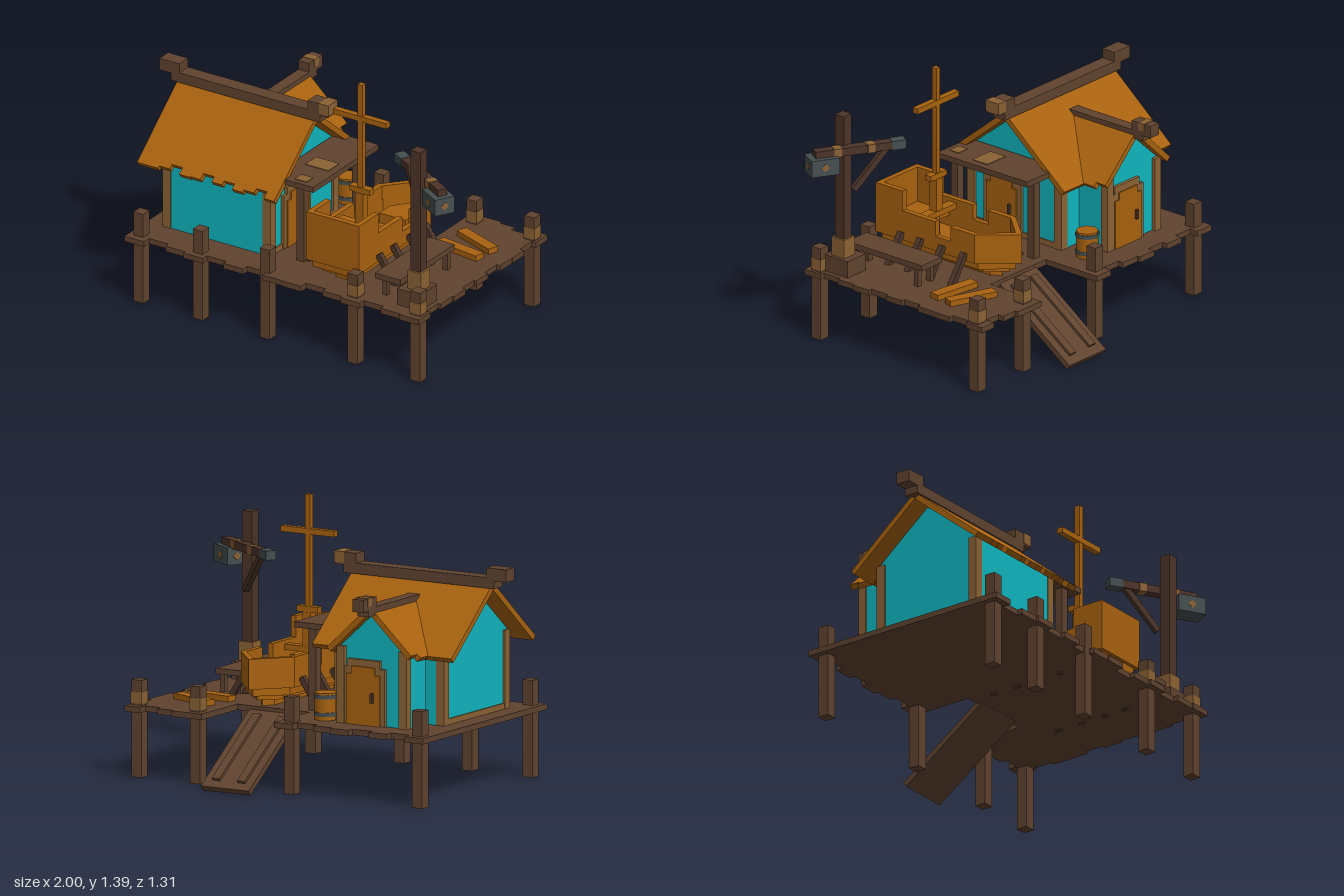
import * as THREE from 'three';

const mat = (name, color) => Object.assign(new THREE.MeshStandardMaterial({ color }), { name });

export function createModel() {
  const model = new THREE.Group();
  const brown = mat('brown wood', 0x60432f), dark = mat('dark wood', 0x4c3428), tan = mat('tan trim', 0x8b6234);
  const orange = mat('orange wood', 0xa8620f), teal = mat('teal wall', 0x10b5bf), slate = mat('slate metal', 0x454e4f);

  const add = (name, geo, m, parent = model) => {
    const mesh = new THREE.Mesh(geo, m);
    mesh.name = name;
    parent.add(mesh);
    return mesh;
  };
  // box given by its extents on each axis
  const box = (name, m, x0, x1, y0, y1, z0, z1, parent) => {
    const b = add(name, new THREE.BoxGeometry(x1 - x0, y1 - y0, z1 - z0), m, parent);
    b.position.set((x0 + x1) / 2, (y0 + y1) / 2, (z0 + z1) / 2);
    return b;
  };
  // square timber between two points
  const beam = (name, m, a, b, w, h = w) => {
    const A = new THREE.Vector3(...a), B = new THREE.Vector3(...b);
    const mesh = add(name, new THREE.BoxGeometry(w, h, A.distanceTo(B)), m);
    mesh.position.copy(A).add(B).multiplyScalar(0.5);
    mesh.lookAt(B);
    return mesh;
  };
  const shapeOf = pts => new THREE.Shape(pts.map(p => new THREE.Vector2(...p)));
  const extrude = (shape, depth) => new THREE.ExtrudeGeometry(shape, { depth, bevelEnabled: false });
  // flat slab from a plan outline of [x, z] points
  const slab = (name, m, pts, y0, y1, hole) => {
    const flip = p => [p[0], -p[1]];
    const s = shapeOf(pts.map(flip));
    if (hole) s.holes.push(shapeOf(hole.map(flip)));
    const mesh = add(name, extrude(s, y1 - y0).rotateX(-Math.PI / 2), m);
    mesh.position.y = y0;
    return mesh;
  };
  // stepped line of plank ends from u0 to u1
  const jag = (u0, u1, n, depth) => {
    const pts = [], cuts = [0, 1, 0.35, 0, 0.8, 0.2, 1, 0.1];
    for (let i = 0; i < n; i++) {
      const d = i === n - 1 ? 0 : cuts[i % 8] * depth;
      for (const k of [i, i + 1]) pts.push([u0 + (u1 - u0) * k / n, d]);
    }
    return pts;
  };

  // deck with a gap at the back for the ramp
  slab('deck', brown, [
    ...jag(-0.9, 0.88, 15, 0.045).map(([x, d]) => [x, 0.655 - d]),
    ...jag(0.655, -0.53, 11, 0.025).map(([z, d]) => [0.88 - d, z]),
    ...jag(0.88, 0.42, 5, 0.05).map(([x, d]) => [x, -0.53 + d]),
    [0.42, -0.19], [-0.01, -0.19],
    ...jag(-0.01, -0.9, 8, 0.05).map(([x, d]) => [x, -0.53 + d]),
  ], 0.34, 0.37);

  // stilts
  for (const [x, z] of [[-0.84, 0.59], [-0.48, 0.59], [-0.075, 0.59], [0.455, 0.59], [0.835, 0.59],
    [-0.84, -0.46], [-0.075, -0.46], [0.485, -0.46], [0.835, -0.46]]) {
    box('stilt', brown, x - 0.03, x + 0.03, 0, 0.5, z - 0.03, z + 0.03);
    if (x > 0.4) box('stiltBand', tan, x - 0.032, x + 0.032, 0.38, 0.44, z - 0.032, z + 0.032);
  }

  // ramp with two treads
  const rampAt = (t, x, lift) => [x, 0.35 - 0.335 * t + lift, -0.165 - 0.48 * t];
  beam('ramp', brown, rampAt(0, 0.205, 0), rampAt(1, 0.205, 0), 0.285, 0.03);
  for (const x of [0.13, 0.28]) beam('rampTread', brown, rampAt(0.12, x, 0.024), rampAt(0.94, x, 0.024), 0.045, 0.02);

  // house walls: gabled blocks
  const gabled = [[-0.31, 0.37], [0.31, 0.37], [0.31, 0.775], [0, 1.025], [-0.31, 0.775]];
  const hall = add('hallWalls', extrude(shapeOf(gabled), 0.63).rotateY(Math.PI / 2), teal);
  hall.position.set(-0.79, 0, 0.14);
  const wing = add('wingWalls', extrude(shapeOf([[-0.2, 0.37], [0.2, 0.37], [0.2, 0.762], [0, 0.945], [-0.2, 0.762]]), 0.34), teal);
  wing.position.set(-0.49, 0, -0.345);

  // corner posts and sills
  for (const x of [-0.778, -0.172]) for (const z of [-0.15, 0.43])
    box('cornerPost', tan, x - 0.024, x + 0.024, 0.37, 0.775, z - 0.024, z + 0.024);
  for (const x of [-0.675, -0.305]) box('wingCornerPost', tan, x - 0.023, x + 0.023, 0.37, 0.765, -0.367, -0.322);
  for (const x of [-0.796, -0.154]) box('sill', tan, x - 0.004, x + 0.004, 0.37, 0.4, -0.15, 0.43);

  // roof sheet: outline is [along ridge, down slope], hung from a ridge point
  const roof = (name, pts, pos, turn, pitch) => {
    const g = new THREE.Group();
    g.name = name;
    g.position.set(...pos);
    g.rotation.y = turn;
    add('sheet', extrude(shapeOf(pts), 0.03), orange, g).rotation.x = -(Math.PI / 2 - pitch);
    model.add(g);
  };
  const eave = jag(0.415, -0.415, 13, 0.04).map(([x, d]) => [x, -0.495 + d]);
  roof('hallRoofFront', [[-0.415, 0], [0.415, 0], ...eave], [-0.485, 1.03, 0.14], 0, 0.69);
  roof('hallRoofBack', [[-0.415, 0], [0.415, 0], [0.415, -0.495], [-0.415, -0.495]], [-0.485, 1.03, 0.14], Math.PI, 0.69);
  for (const s of [1, -1])
    roof('wingRoof', [[0.39, 0], [-0.03, 0], [0.22, -0.34], [0.33, -0.34], [0.33, -0.315], [0.39, -0.315]]
      .map(([u, v]) => [u * s, v]), [-0.49, 0.95, 0], s * Math.PI / 2, 0.75);

  // ridge beams with end blocks
  box('hallRidge', brown, -0.93, -0.03, 1.045, 1.1, 0.1, 0.18);
  box('ridgeBlock', brown, -1, -0.88, 1.085, 1.15, 0.1, 0.18);
  box('ridgeBlock', brown, -0.105, 0.02, 1.085, 1.15, 0.1, 0.18);
  box('ridgePatch', tan, -0.035, 0.023, 1.095, 1.153, 0.097, 0.183);
  box('wingRidge', brown, -0.525, -0.46, 0.945, 0.99, -0.45, 0.04);
  box('wingRidgeBlock', brown, -0.525, -0.46, 0.975, 1.04, -0.5, -0.375);
  box('wingRidgePatch', tan, -0.528, -0.457, 1.0, 1.043, -0.46, -0.42);

  // doors with clipped corners
  const door = (x, z, turn) => {
    const g = new THREE.Group();
    g.name = 'door';
    g.position.set(x, 0.37, z);
    g.rotation.y = turn;
    const leaf = (w, h) => shapeOf([[-w, 0], [w, 0], [w, h - 0.04], [w - 0.03, h - 0.04], [w - 0.03, h], [0.03 - w, h], [0.03 - w, h - 0.04], [-w, h - 0.04]]);
    add('frame', extrude(leaf(0.125, 0.335), 0.018), tan, g);
    add('leaf', extrude(leaf(0.1, 0.3), 0.026), orange, g);
    box('handle', dark, 0.05, 0.065, 0.12, 0.17, 0.02, 0.04, g);
    model.add(g);
  };
  door(-0.44, -0.345, Math.PI);
  door(-0.16, 0.215, Math.PI / 2);

  // porch roof
  box('porchRoof', brown, -0.15, 0.1, 0.79, 0.82, -0.16, 0.44);
  box('porchPatch', tan, -0.08, 0.06, 0.818, 0.824, 0.14, 0.24);
  box('porchPatch', tan, -0.03, 0.04, 0.818, 0.824, 0.35, 0.41);
  for (const z of [-0.12, 0.39]) box('porchPost', brown, -0.02, 0.025, 0.37, 0.79, z - 0.022, z + 0.022);

  // barrel
  const barrel = add('barrel', new THREE.CylinderGeometry(0.058, 0.058, 0.14, 8), orange);
  barrel.position.set(-0.185, 0.44, -0.315);
  for (const y of [0.4, 0.49]) {
    add('barrelHoop', new THREE.CylinderGeometry(0.062, 0.062, 0.02, 8), slate).position.set(-0.185, y, -0.315);
  }

  // boat: stacked plan layers, open on top, bow towards the back
  const cx = 0.29;
  const hull = (w, stern, tip) => [[cx - w, stern], [cx + w, stern], [cx + w, -0.11], [cx, tip], [cx - w, -0.11]];
  slab('keel', orange, hull(0.04, 0.46, -0.16), 0.37, 0.41);
  slab('hullLow', orange, hull(0.095, 0.5, -0.21), 0.405, 0.435);
  slab('hullFloor', orange, hull(0.135, 0.53, -0.25), 0.43, 0.475);
  slab('hullSide', orange, hull(0.16, 0.55, -0.29), 0.47, 0.55, hull(0.13, 0.52, -0.25));
  slab('bowSide', orange, [[cx + 0.16, 0.05], [cx + 0.16, -0.11], [cx, -0.29], [cx - 0.16, -0.11], [cx - 0.16, 0.05],
    [cx - 0.13, 0.05], [cx - 0.13, -0.1], [cx, -0.245], [cx + 0.13, -0.1], [cx + 0.13, 0.05]], 0.55, 0.627);
  const sternU = z => [[cx - 0.16, z], [cx - 0.16, 0.55], [cx + 0.16, 0.55], [cx + 0.16, z], [cx + 0.13, z], [cx + 0.13, 0.52], [cx - 0.13, 0.52], [cx - 0.13, z]];
  slab('sternSide', orange, sternU(0.15), 0.55, 0.63);
  slab('sternHigh', orange, sternU(0.37), 0.63, 0.738);
  box('sternDeck', orange, cx - 0.135, cx + 0.135, 0.53, 0.55, 0.31, 0.525);
  box('thwart', orange, cx - 0.14, cx + 0.14, 0.58, 0.61, 0.26, 0.31);
  slab('bowDeck', orange, [[cx - 0.08, -0.1], [cx - 0.08, 0], [cx + 0.08, 0], [cx + 0.08, -0.1], [cx, -0.2]], 0.47, 0.53);

  // mast and yard
  box('mast', orange, cx - 0.015, cx + 0.015, 0.47, 1.39, 0.27, 0.3);
  box('yard', orange, cx - 0.16, cx + 0.16, 1.185, 1.215, 0.268, 0.302);
  box('mastCollar', orange, cx - 0.063, cx + 0.063, 0.785, 0.815, 0.265, 0.305);
  box('mastFoot', orange, cx - 0.024, cx + 0.024, 0.6, 0.785, 0.262, 0.308);

  // struts that prop the boat
  for (const s of [1, -1]) for (const z of [-0.045, 0.1, 0.245, 0.375])
    beam('strut', dark, [cx + s * 0.165, 0.515, z], [cx + s * 0.285, 0.335, z], 0.03);

  // bench
  box('benchTop', brown, 0.535, 0.69, 0.465, 0.495, 0.035, 0.535);
  for (const x of [0.575, 0.67]) for (const z of [0.08, 0.49])
    box('benchLeg', brown, x - 0.014, x + 0.014, 0.37, 0.465, z - 0.014, z + 0.014);

  // loose planks
  for (const [x, z, turn] of [[0.64, -0.25, -0.36], [0.62, -0.12, -0.14]]) {
    const p = add('loosePlank', new THREE.BoxGeometry(0.27, 0.03, 0.06), orange);
    p.position.set(x, 0.385, z);
    p.rotation.y = turn;
  }

  // lamp post: base, pole, angled arm, brace and lantern
  box('lampBase', brown, 0.69, 0.83, 0.37, 0.46, 0.41, 0.565);
  box('lampSocket', tan, 0.73, 0.812, 0.46, 0.56, 0.448, 0.532);
  box('lampPole', dark, 0.74, 0.8, 0.4, 1.23, 0.46, 0.52);
  const c = Math.cos(0.52), n = Math.sin(0.52);
  const arm = (d, y) => [0.77 + d * c, y, 0.435 + d * n];
  beam('lampArm', dark, arm(-0.28, 1.05), arm(0.2, 1.05), 0.05, 0.042);
  beam('armCap', slate, arm(-0.285, 1.05), arm(-0.21, 1.05), 0.056, 0.048);
  beam('armBand', tan, arm(-0.12, 1.05), arm(-0.08, 1.05), 0.054, 0.046);
  beam('armBand', tan, arm(0.06, 1.05), arm(0.1, 1.05), 0.054, 0.046);
  beam('lampBrace', dark, arm(-0.19, 1.04), arm(-0.01, 0.83), 0.03);
  const lantern = new THREE.Group();
  lantern.name = 'lantern';
  lantern.position.set(0.905, 0.99, 0.515);
  lantern.rotation.y = -0.52;
  model.add(lantern);
  box('lanternCase', slate, -0.075, 0.075, -0.045, 0.045, -0.055, 0.055, lantern);
  for (const [w, h, d] of [[0.032, 0.032, 0.114], [0.154, 0.032, 0.032]]) {
    const glow = add('lanternPane', new THREE.BoxGeometry(w, h, d), tan, lantern);
    if (d > w) glow.rotation.z = Math.PI / 4; else glow.rotation.x = Math.PI / 4;
  }
  return model;
}
